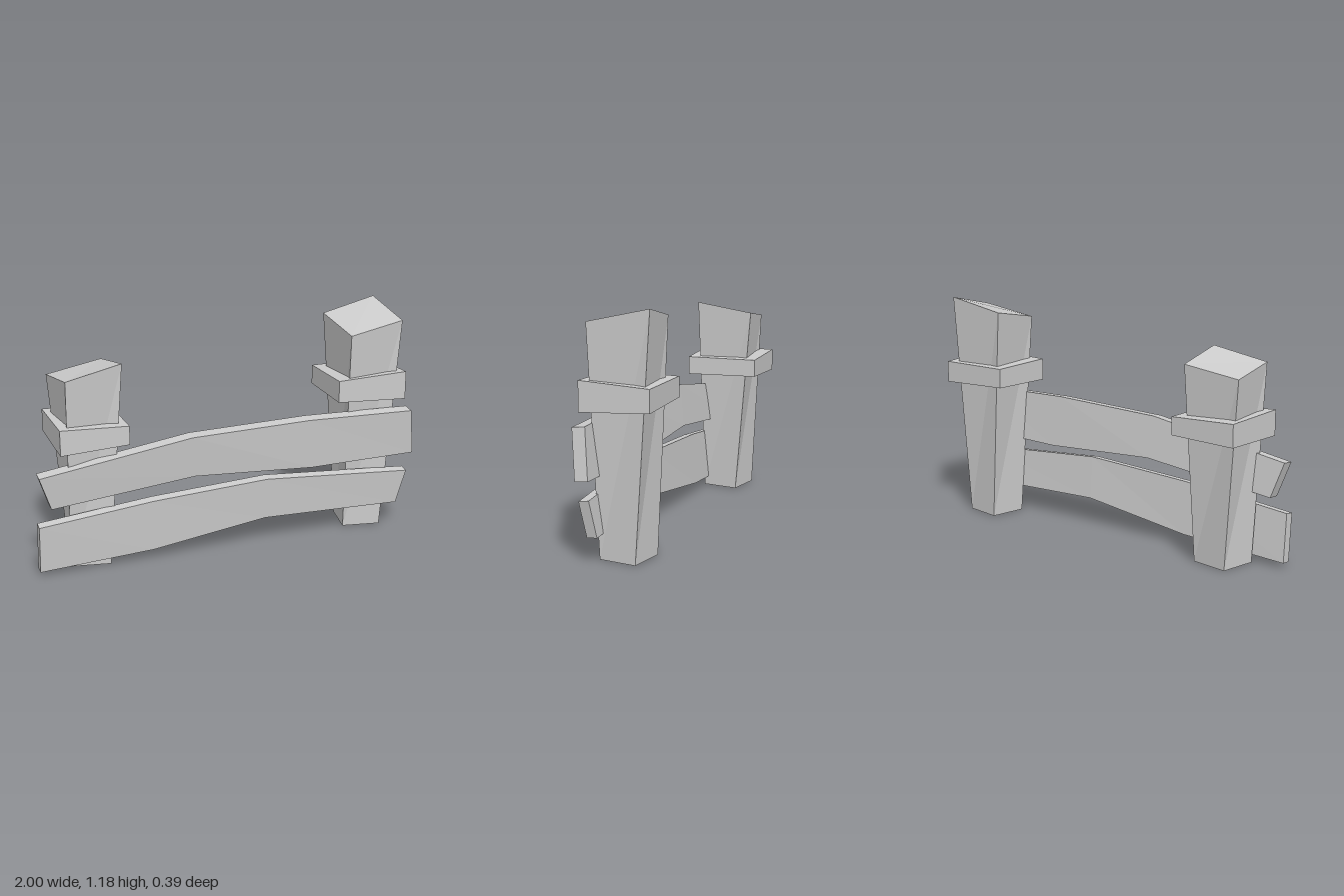
import * as THREE from 'three';

const material = new THREE.MeshStandardMaterial({
  color: 0xcccccc, flatShading: true, roughness: 0.9,
});

// Solid skin over four-cornered rings, each counter-clockwise seen from the far end
function loft(name, rings) {
  const pos = [];
  const quad = (a, b, c, d) => pos.push(...a, ...b, ...c, ...a, ...c, ...d);
  for (let r = 0; r < rings.length - 1; r++) {
    const p = rings[r], q = rings[r + 1];
    for (let i = 0; i < 4; i++) {
      const j = (i + 1) % 4;
      quad(p[i], p[j], q[j], q[i]);
    }
  }
  quad(...[...rings[0]].reverse());
  quad(...rings[rings.length - 1]);
  const geometry = new THREE.BufferGeometry();
  geometry.setAttribute('position', new THREE.Float32BufferAttribute(pos, 3));
  geometry.computeVertexNormals();
  const mesh = new THREE.Mesh(geometry, material);
  mesh.name = name;
  return mesh;
}

// Tapered, twisted post with a slanted top; corners run front-left of view, round to the back
function post(name, x, top) {
  const foot = [[-0.115, 0.085], [0.08, 0.12], [0.115, -0.07], [-0.08, -0.105]];
  return loft(name, [foot.map(([dx, z]) => [x + dx, 0, z]), top]);
}

// Uneven block around a post; lows and highs list the corner heights
function collar(name, [x0, x1], [z0, z1], lows, highs) {
  const plan = [[x0, z1], [x1, z1], [x1, z0], [x0, z0]];
  return loft(name, [lows, highs].map((ys) => plan.map(([x, z], i) => [x, ys[i], z])));
}

// Bent plank leaning forward; sections are [topX, topY, bottomX, bottomY],
// z is the lower back edge, shifting by yaw along the length
function rail(name, sections, z, yaw, thick, lean) {
  return loft(name, sections.map(([tx, ty, bx, by]) => {
    const zt = z + yaw * (tx + 1) / 2, zb = z + yaw * (bx + 1) / 2;
    return [
      [bx, by, zb + thick], [bx, by + 0.004, zb],
      [tx, ty + 0.005, zt + lean], [tx, ty - 0.002, zt + lean + thick],
    ];
  }));
}

export function createModel() {
  const fence = new THREE.Group();
  fence.name = 'fence';
  fence.add(
    // Posts
    post('leftPost', 0.765, [
      [0.63, 1.065, 0.165], [0.925, 1.115, 0.14], [0.9, 1.18, -0.155], [0.605, 1.118, -0.13]]),
    post('rightPost', -0.715, [
      [-0.845, 0.98, 0.16], [-0.56, 1.035, 0.135], [-0.585, 0.985, -0.155], [-0.87, 0.94, -0.13]]),
    // Collars
    collar('leftCollar', [0.565, 0.94], [-0.168, 0.175],
      [0.725, 0.706, 0.722, 0.73], [0.838, 0.852, 0.832, 0.83]),
    collar('rightCollar', [-0.885, -0.542], [-0.192, 0.183],
      [0.622, 0.64, 0.645, 0.632], [0.75, 0.735, 0.735, 0.745]),
    // Rails
    rail('upperRail', [
      [-0.99, 0.515, -0.93, 0.34], [-0.22, 0.635, -0.2, 0.42],
      [0.4, 0.655, 0.43, 0.388], [0.97, 0.645, 1, 0.402]], 0.075, 0.032, 0.064, 0.024),
    rail('lowerRail', [
      [-1, 0.265, -1, 0.022], [-0.42, 0.325, -0.42, 0.055],
      [0.18, 0.36, 0.18, 0.14], [0.97, 0.305, 0.925, 0.122]], 0.098, 0, 0.05, 0.019),
  );
  return fence;
}
